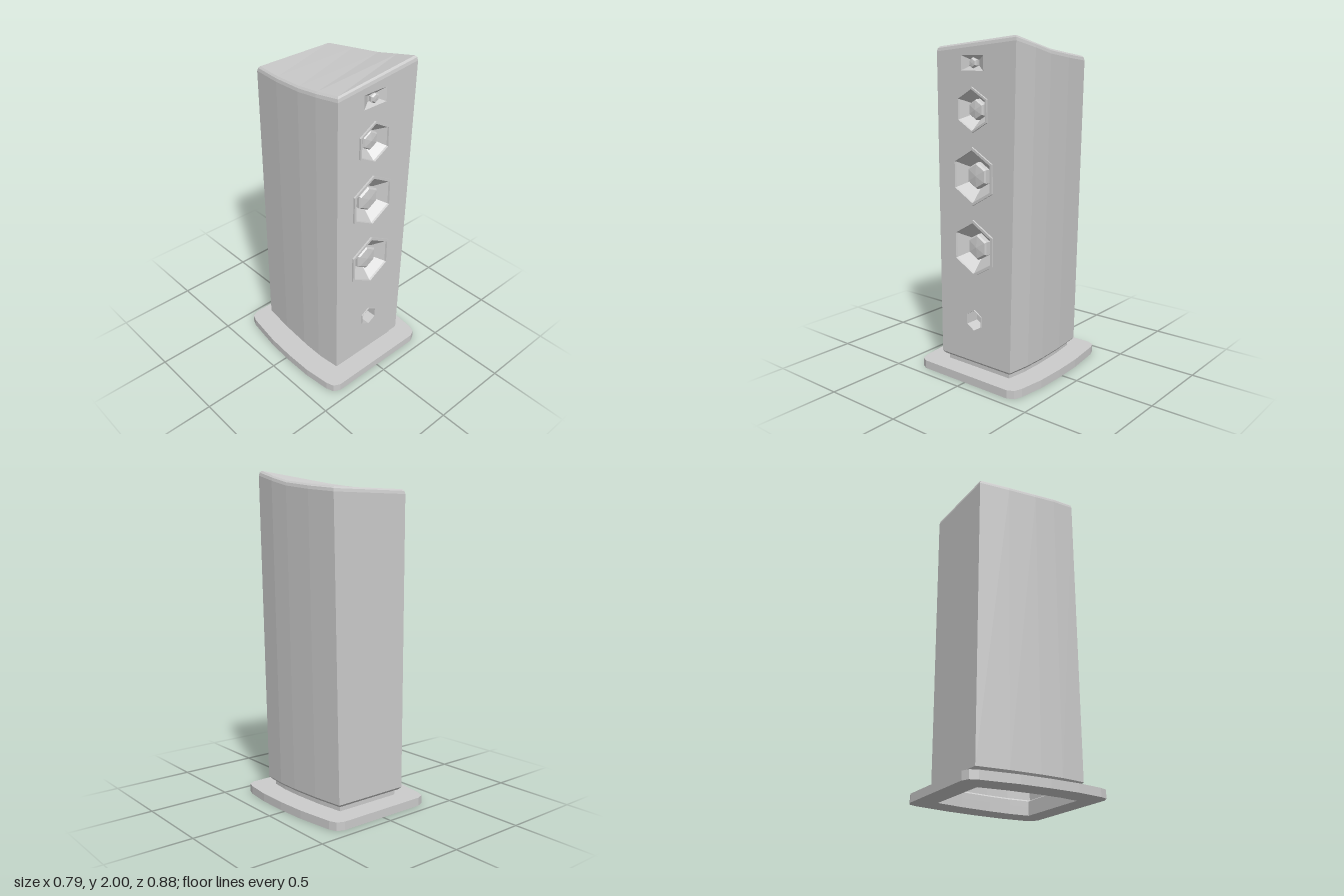
import * as THREE from 'three';

const material = new THREE.MeshStandardMaterial({ color: 0xcccccc, flatShading: true, side: THREE.DoubleSide });

// Cabinet sections from back to front: z, half width, top height at -x and at +x
const ROWS = [
  [-0.335, 0.245, 1.885, 1.885],
  [-0.14, 0.268, 1.892, 1.905],
  [0.05, 0.28, 1.905, 1.93],
  [0.19, 0.28, 1.922, 1.963],
  [0.342, 0.266, 1.94, 2.0],
];
const FRONT = 0.342;
const LAST = ROWS.length - 1;

// Woofers, from top to bottom: centre height and radius
const DRIVERS = [[1.595, 0.128], [1.22, 0.168], [0.8, 0.168]];
const PORT = { y: 0.36, r: 0.064 };
const TWEETER = { y: 1.852, w: 0.082, h: 0.042 };

function add(group, name, geometry, x = 0, y = 0, z = 0) {
  const mesh = new THREE.Mesh(geometry, material);
  mesh.name = name;
  mesh.position.set(x, y, z);
  group.add(mesh);
  return mesh;
}

// One corner of a cabinet section; the +x side leans outwards with height
function corner(i, side, inset, height) {
  const [z, w, left, right] = ROWS[i];
  const y = height(side > 0 ? right : left);
  const lean = side > 0 ? 0.045 * Math.max(0, (y - 0.08) / 1.9) : 0;
  const dz = i === 0 ? inset : i === LAST ? -inset : 0;
  return [side * (w - inset) + lean, y, z + dz];
}

// Closed loop: down the +x side to the front, back along the -x side
function ring(inset, height) {
  const right = ROWS.map((_, i) => corner(i, 1, inset, height));
  const left = ROWS.map((_, i) => corner(i, -1, inset, height));
  return [...right, ...left.reverse()];
}

function hexagon(PathType, y, r) {
  const path = new PathType();
  for (let k = 0; k < 6; k++) {
    const a = Math.PI / 2 + k * Math.PI / 3;
    path[k ? 'lineTo' : 'moveTo'](r * Math.cos(a), y + r * Math.sin(a));
  }
  path.closePath();
  return path;
}

// Lathe facing +z, profile given as [radius, z]
function turned(profile, sides = 6, start = 0) {
  const points = profile.map(([r, z]) => new THREE.Vector2(r, z));
  return new THREE.LatheGeometry(points, sides, start).rotateX(Math.PI / 2);
}

// Neck, bevelled walls and sloping top in one shell, open below
function cabinetGeometry() {
  const rings = [
    ring(0.03, () => 0.05),
    ring(0.03, () => 0.085),
    ring(0.012, () => 0.085),
    ring(0, () => 0.1),
    ring(0, (top) => top - 0.028),
    ring(0.004, (top) => top - 0.01),
    ring(0.013, (top) => top),
  ];
  const pos = [];
  const tri = (...corners) => corners.forEach((c) => pos.push(...c));
  const n = rings[0].length;
  for (let r = 0; r < rings.length - 1; r++) {
    for (let k = 0; k < n; k++) {
      if (r === 3 && k === LAST) continue; // the baffle fills this face
      const m = (k + 1) % n;
      const [lo, hi] = [rings[r], rings[r + 1]];
      tri(lo[k], hi[k], lo[m]);
      tri(lo[m], hi[k], hi[m]);
    }
  }
  const top = rings[rings.length - 1];
  for (let i = 0; i < LAST; i++) {
    const [r0, r1, l0, l1] = [top[i], top[i + 1], top[n - 1 - i], top[n - 2 - i]];
    tri(l0, l1, r0);
    tri(r0, l1, r1);
  }
  const geometry = new THREE.BufferGeometry();
  geometry.setAttribute('position', new THREE.Float32BufferAttribute(pos, 3));
  geometry.computeVertexNormals();
  return geometry;
}

// Front panel with cut-outs
function baffleGeometry() {
  const low = () => 0.1;
  const high = (top) => top - 0.028;
  const outline = [corner(LAST, -1, 0, low), corner(LAST, 1, 0, low), corner(LAST, 1, 0, high), corner(LAST, -1, 0, high)];
  const shape = new THREE.Shape(outline.map(([x, y]) => new THREE.Vector2(x, y)));
  for (const [y, r] of DRIVERS) shape.holes.push(hexagon(THREE.Path, y, r * 0.95));
  shape.holes.push(hexagon(THREE.Path, PORT.y, PORT.r * 0.98));
  const { y, w, h } = TWEETER;
  shape.holes.push(new THREE.Path([[-w, -h], [-w, h], [w, h], [w, -h]].map(([a, b]) => new THREE.Vector2(a, y + b))));
  return new THREE.ShapeGeometry(shape);
}

// Base plate with clipped corners, hollow under the neck
function plinthGeometry() {
  const side = [[0.29, -0.438], [0.335, -0.42], [0.353, -0.375], [0.385, -0.15], [0.395, 0.03],
    [0.395, 0.21], [0.377, 0.37], [0.36, 0.418], [0.32, 0.438]];
  const mirrored = side.map(([x, z]) => [-x, z]).reverse();
  const shape = new THREE.Shape([...side, ...mirrored].map(([x, z]) => new THREE.Vector2(x, z)));
  const hole = ring(0.03, () => 0.05).map(([x, , z]) => new THREE.Vector2(x, z));
  shape.holes.push(new THREE.Path(hole));
  const geometry = new THREE.ExtrudeGeometry(shape, { depth: 0.05, bevelEnabled: false });
  return geometry.rotateX(Math.PI / 2).translate(0, 0.05, 0);
}

export function createModel() {
  const model = new THREE.Group();
  model.name = 'floorSpeaker';

  add(model, 'plinth', plinthGeometry());
  add(model, 'cabinet', cabinetGeometry());
  add(model, 'baffle', baffleGeometry(), 0, 0, FRONT);

  // Woofers: raised rim, sunken cone and bevelled dust cap
  DRIVERS.forEach(([y, r], i) => {
    const driver = new THREE.Group();
    driver.name = `woofer${i + 1}`;
    driver.position.set(0, y, FRONT);
    add(driver, 'rim', turned([[r, -0.005], [r, 0.011], [r * 0.9, 0.011], [r * 0.88, 0]]));
    add(driver, 'cone', turned([[r * 0.88, 0], [r * 0.46, -0.065]]));
    add(driver, 'dustCap', turned([[r * 0.46, -0.065], [r * 0.46, -0.035], [r * 0.4, -0.025], [0, -0.018]]));
    model.add(driver);
  });

  // Tweeter: rectangular horn with a small cap
  const horn = turned([[1, 0], [0.42, -0.025], [0, -0.025]], 4, Math.PI / 4);
  horn.scale(TWEETER.w * Math.SQRT2, TWEETER.h * Math.SQRT2, 1);
  add(model, 'tweeterHorn', horn, 0, TWEETER.y, FRONT);
  add(model, 'tweeterCap', turned([[0.03, -0.025], [0.03, -0.008], [0.022, 0], [0, 0.002]]), 0, TWEETER.y, FRONT);

  // Bass port: short hexagonal tube
  const { y, r } = PORT;
  add(model, 'bassPort', turned([[r, -0.005], [r, 0.008], [r * 0.96, 0.008], [r * 0.94, -0.08], [0, -0.08]]), 0, y, FRONT);

  return model;
}
